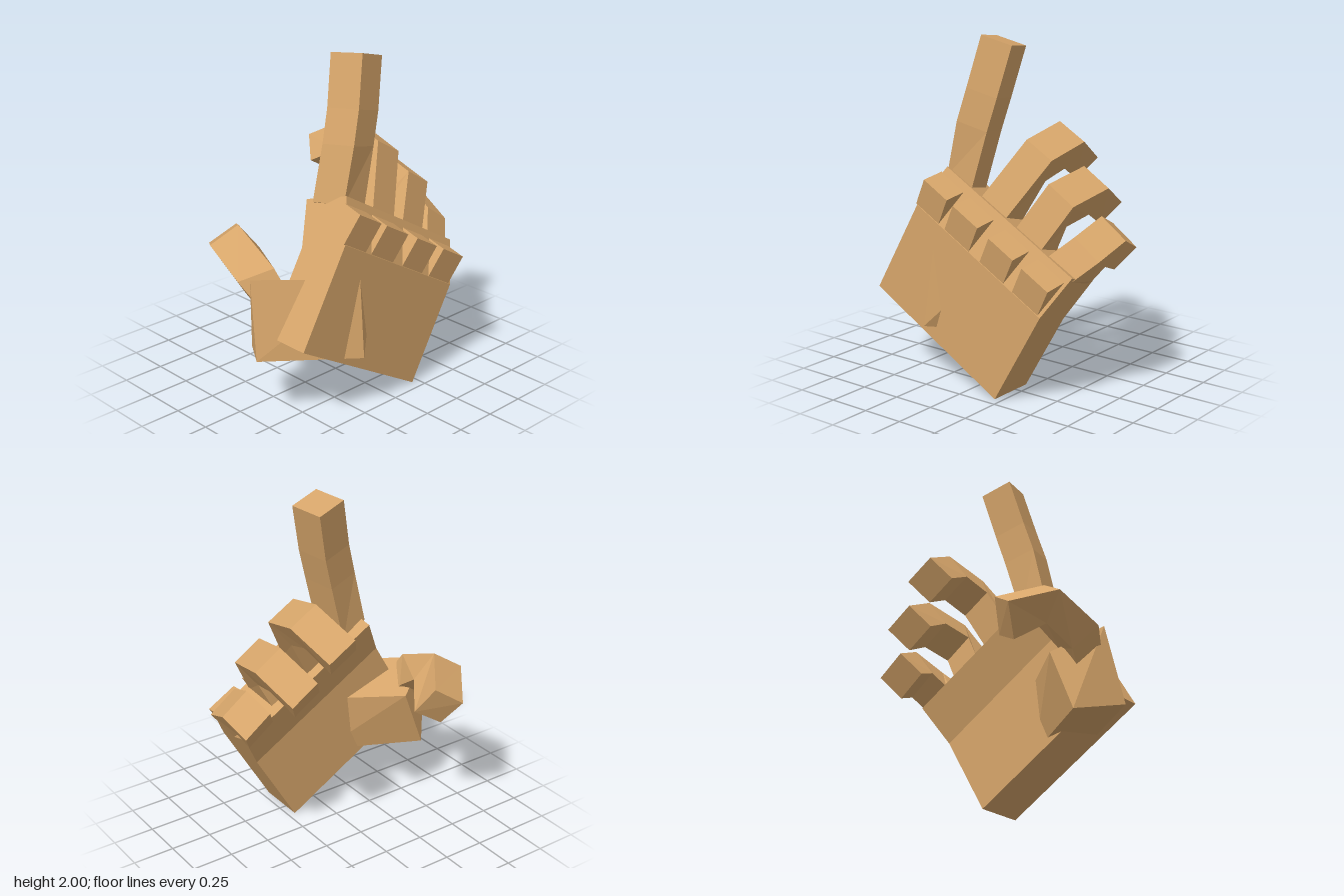
import * as THREE from 'three';

const skin = new THREE.MeshStandardMaterial({ color: 0xd6a56a });
skin.name = 'skin';

// Solid through a list of cross-sections (each a loop of [x, y, z]), closed at both ends.
function loft(name, rings) {
  const n = rings[0].length;
  const tris = [];
  for (let r = 0; r < rings.length - 1; r++) {
    for (let i = 0; i < n; i++) {
      const j = (i + 1) % n;
      const a = rings[r][i], b = rings[r][j], c = rings[r + 1][j], d = rings[r + 1][i];
      tris.push([a, b, c], [a, c, d]);
    }
  }
  const first = rings[0], last = rings[rings.length - 1];
  for (let i = 1; i < n - 1; i++) {
    tris.push([first[0], first[i + 1], first[i]], [last[0], last[i], last[i + 1]]);
  }
  // Turn the faces outward if the enclosed volume is negative
  const v = (p) => new THREE.Vector3(...p);
  const volume = tris.reduce((s, [a, b, c]) => s + v(a).dot(v(b).cross(v(c))), 0);
  if (volume < 0) tris.forEach((t) => t.reverse());

  const geometry = new THREE.BufferGeometry();
  geometry.setAttribute('position', new THREE.Float32BufferAttribute(tris.flat(2), 3));
  geometry.computeVertexNormals();
  const mesh = new THREE.Mesh(geometry, skin);
  mesh.name = name;
  return mesh;
}

const add = (a, b) => a.map((k, i) => k + b[i]);

// Palm frame: u runs across the hand, v from wrist to knuckles, tilted 30 degrees
const palmPoint = (u, v, z) => [-0.66 + 0.866 * u + 0.5 * v, 0.5 - 0.5 * u + 0.866 * v, z];
const across = (profile, u0, u1) =>
  [u0, u1].map((u) => profile.map(([v, z]) => palmPoint(u, v, z)));

// Finger from its outer left edge; each point is widened and thickened into a section
function finger(name, edge, width) {
  const depth = [[-0.04, -0.06, -0.2], [-0.1, -0.14, -0.08], [-0.11, -0.16, 0.03], [-0.08, -0.12, 0.1]];
  return loft(name, edge.map((p, i) => {
    const inner = add(p, depth[i]);
    return [p, add(p, width), add(inner, width), inner];
  }));
}

export function createModel() {
  const hand = new THREE.Group();
  hand.name = 'hand';

  // Palm slab with the top bent backward
  const palmProfile = [[0, 0.44], [0.62, 0.44], [0.87, 0.32], [0.78, 0.05], [0.52, 0.15], [0, 0.15]];
  hand.add(loft('palm', across(palmProfile, 0, 1)));

  // Four raised knuckles on the sloping front
  const knuckleProfile = [[0.62, 0.438], [0.8, 0.47], [0.83, 0.335], [0.7, 0.34]];
  [[-0.01, 0.18], [0.23, 0.43], [0.52, 0.71], [0.78, 0.98]].forEach(([u0, u1], i) => {
    hand.add(loft('knuckle' + (i + 1), across(knuckleProfile, u0, u1)));
  });

  // Raised index finger, bending slightly backward
  const indexEdge = [[-0.235, 1.2, 0.31], [-0.16, 1.52, 0.31], [-0.105, 1.71, 0.29], [-0.035, 2.0, 0.245]];
  hand.add(loft('indexFinger', indexEdge.map((p, i) => {
    const side = i === 0 ? [0.16, -0.09, -0.01] : [0.185, -0.05, -0.035];
    const back = [-0.05, -0.02, -0.195];
    return [p, add(p, side), add(add(p, side), back), add(p, back)];
  })));

  // Curled fingers: base, knuckle, bend, tip
  hand.add(finger('middleFinger',
    [[0.0, 1.1, 0.3], [0.2, 1.43, 0.14], [0.23, 1.5, -0.13], [0.15, 1.36, -0.385]], [0.17, -0.1, 0]));
  hand.add(finger('ringFinger',
    [[0.245, 0.96, 0.3], [0.395, 1.215, 0.2], [0.435, 1.275, -0.08], [0.36, 1.14, -0.33]], [0.165, -0.105, 0]));
  hand.add(finger('littleFinger',
    [[0.46, 0.835, 0.3], [0.57, 0.945, 0.2], [0.61, 1.03, 0], [0.57, 0.95, -0.175]], [0.16, -0.115, 0]));

  // Thumb base, a skewed block running through the palm
  hand.add(loft('thumbBase', [
    [[-0.77, 0.39, 0.18], [-0.26, 0.35, 0.5], [-0.09, 0.3, 0.26], [-0.6, 0.34, -0.06]],
    [[-0.72, 0.83, 0.08], [-0.235, 0.8, 0.44], [0.0, 0.66, 0.3], [-0.46, 0.7, -0.07]],
  ]));

  // Thumb: root, lower joint, bend, tip
  hand.add(loft('thumb', [
    [[-0.68, 0.66, 0.11], [-0.55, 0.74, 0.2], [-0.46, 0.62, 0.1], [-0.58, 0.55, 0.04]],
    [[-0.74, 0.8, 0.0], [-0.58, 0.87, 0.12], [-0.47, 0.74, 0.0], [-0.62, 0.67, -0.08]],
    [[-0.7, 0.92, -0.285], [-0.545, 1.02, -0.22], [-0.43, 0.865, -0.18], [-0.58, 0.77, -0.25]],
    [[-0.53, 0.82, -0.51], [-0.38, 0.92, -0.44], [-0.32, 0.75, -0.33], [-0.47, 0.66, -0.39]],
  ]));

  return hand;
}
